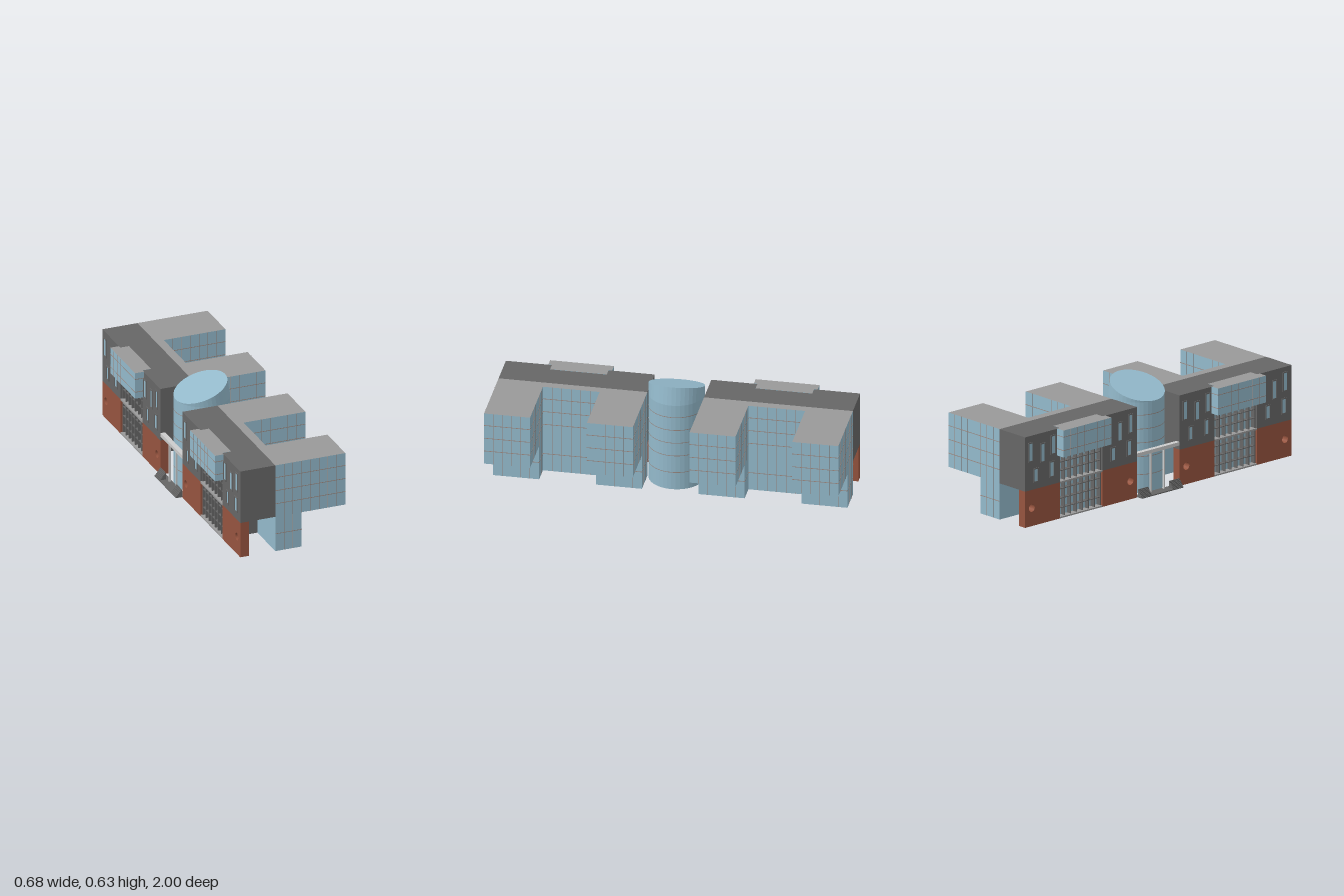
import * as THREE from 'three';
import { mergeGeometries } from 'three/addons/utils/BufferGeometryUtils.js';

const mat = (color, extra = {}) => new THREE.MeshStandardMaterial({ color, ...extra });
const glass = mat(0x93b9cb), dark = mat(0x666666), roof = mat(0x999999);
const brick = mat(0x96543f), line = mat(0x9a8a84), pale = mat(0xcccccc);
const drum = mat(0x93b9cb, { flatShading: true });

const SIDE = 0.42;   // half length of one block along z
const COURT = 0.16;  // half width of its courtyard

function add(parent, name, geometry, material) {
  const mesh = new THREE.Mesh(geometry, material);
  mesh.name = name;
  parent.add(mesh);
  return mesh;
}

// Box given by its lower and upper limits on each axis
function span(x0, x1, y0, y1, z0, z1) {
  return new THREE.BoxGeometry(x1 - x0, y1 - y0, z1 - z0)
    .translate((x0 + x1) / 2, (y0 + y1) / 2, (z0 + z1) / 2);
}

// Upright prism over a floor plan of [x, z] points
function prism(plan, y0, y1) {
  const shape = new THREE.Shape(plan.map(([x, z]) => new THREE.Vector2(x, -z)));
  return new THREE.ExtrudeGeometry(shape, { depth: y1 - y0, bevelEnabled: false })
    .rotateX(-Math.PI / 2).translate(0, y0, 0);
}

// Thin joint lines on the walls along an open run of plan points
function joints(plan, y0, y1, rows) {
  const parts = [];
  for (let i = 0; i < plan.length - 1; i++) {
    const [ax, az] = plan[i], [bx, bz] = plan[i + 1];
    const length = Math.hypot(bx - ax, bz - az);
    const angle = -Math.atan2(bz - az, bx - ax);
    const place = (g, t, y) => parts.push(g.rotateY(angle)
      .translate(ax + (bx - ax) * t, y, az + (bz - az) * t));
    const n = Math.max(1, Math.round(length / 0.0525));
    for (let k = 1; k < n; k++) {
      place(new THREE.BoxGeometry(0.002, y1 - y0, 0.002), k / n, (y0 + y1) / 2);
    }
    for (const y of rows) place(new THREE.BoxGeometry(length, 0.004, 0.002), 0.5, y);
  }
  return mergeGeometries(parts);
}

// U-shaped glazed wing plan with two arms reaching to x = arm
const wingPlan = (arm) => [
  [-0.08, SIDE], [arm, SIDE], [arm, COURT], [-0.03, COURT],
  [-0.03, -COURT], [arm, -COURT], [arm, -SIDE], [-0.08, -SIDE],
];

// One of the two equal blocks, centred on its own courtyard
function makeBlock(side) {
  const block = new THREE.Group();
  block.name = side > 0 ? 'leftBlock' : 'rightBlock';

  // Glazed wings, the upper storey overhanging the lower
  const upper = wingPlan(0.34), lower = wingPlan(0.078);
  add(block, 'upperWings', prism(upper, 0.21, 0.525), [roof, glass]);
  add(block, 'lowerWings', prism(lower, 0, 0.21), [roof, glass]);
  add(block, 'upperJoints', joints(upper, 0.21, 0.525, [0.29, 0.37, 0.45]), line);
  add(block, 'lowerJoints', joints(lower, 0, 0.21, [0.106]), line);

  // Dark spine with a notch for the tall glazing, and its core below
  add(block, 'spine', prism([
    [-0.29, SIDE], [-0.08, SIDE], [-0.08, -SIDE], [-0.29, -SIDE],
    [-0.29, -COURT], [-0.238, -COURT], [-0.238, COURT], [-0.29, COURT],
  ], 0.21, 0.525), dark);
  add(block, 'groundCore', span(-0.238, -0.08, 0, 0.21, -COURT, COURT), dark);

  // Tall glazing with mullions and a floor slab
  add(block, 'tallGlazing', span(-0.25, -0.238, 0, 0.37, -COURT, COURT), glass);
  const bars = [];
  for (let i = 0; i <= 7; i++) {
    const z = -0.156 + i * 0.312 / 7;
    bars.push(span(-0.278, -0.25, 0, 0.37, z - 0.003, z + 0.003));
  }
  for (const y of [0.055, 0.11, 0.165, 0.27, 0.32]) {
    bars.push(span(-0.276, -0.25, y - 0.002, y + 0.002, -COURT, COURT));
  }
  add(block, 'mullions', mergeGeometries(bars), dark);
  add(block, 'floorSlab', span(-0.29, -0.238, 0.203, 0.213, -COURT, COURT), roof);
  add(block, 'sill', span(-0.29, -0.238, 0, 0.008, -COURT, COURT), roof);

  // Glazed bay hanging over the facade
  const bay = [[-0.238, COURT], [-0.238, -COURT], [-0.29, -COURT], [-0.29, -0.18],
    [-0.342, -0.18], [-0.342, 0.18], [-0.29, 0.18], [-0.29, COURT]];
  add(block, 'bay', prism(bay, 0.37, 0.526), [roof, glass]);
  add(block, 'bayJoints', joints(bay.slice(3, 7), 0.37, 0.525, [0.41, 0.488]), line);

  for (const end of [-1, 1]) {
    // Brick wall with a round opening; the opening sits near the block's outer edge
    const wall = new THREE.Shape();
    wall.moveTo(COURT, 0).lineTo(SIDE, 0).lineTo(SIDE, 0.21).lineTo(COURT, 0.21).closePath();
    wall.holes.push(new THREE.Path().absarc(0.37, 0.105, 0.022, 0, Math.PI * 2, true));
    const g = new THREE.ExtrudeGeometry(wall, { depth: 0.052, bevelEnabled: false, curveSegments: 12 })
      .translate(0, 0, -0.026).rotateY(end * Math.PI / 2).translate(-0.264, 0, 0);
    add(block, 'brickWall', g, brick);

    // Staggered narrow windows in dark frames
    for (const [dz, y, h] of [[-0.09, 0.43, 0.1], [0, 0.41, 0.1], [0.08, 0.44, 0.1],
      [-0.05, 0.29, 0.07], [0.07, 0.3, 0.08]]) {
      const z = end * 0.29 + dz;
      add(block, 'window', span(-0.2915, -0.289, y - h / 2, y + h / 2, z - 0.012, z + 0.012), glass);
      const frame = [
        span(-0.294, -0.289, y + h / 2, y + h / 2 + 0.007, z - 0.019, z + 0.019),
        span(-0.294, -0.289, y - h / 2 - 0.007, y - h / 2, z - 0.019, z + 0.019),
        span(-0.294, -0.289, y - h / 2, y + h / 2, z - 0.019, z - 0.012),
        span(-0.294, -0.289, y - h / 2, y + h / 2, z + 0.012, z + 0.019),
      ];
      add(block, 'windowFrame', mergeGeometries(frame), dark);
    }
  }
  block.position.z = side * 0.58;
  return block;
}

// Round tower whose top edge is hinged up around its -x side
function makeTower() {
  const tower = new THREE.Group();
  tower.name = 'tower';
  const r = 0.157, tilt = 0.338, top = 0.525;
  const g = new THREE.CylinderGeometry(r, r, top, 40, 2).translate(r, top / 2, 0);
  const p = g.attributes.position;
  for (let i = 0; i < p.count; i++) {
    const x = p.getX(i), y = p.getY(i);
    if (y > top - 0.01) p.setXY(i, x * Math.cos(tilt), top + x * Math.sin(tilt));
    else if (y > 0.1) p.setY(i, top - 0.001);
  }
  g.computeVertexNormals();
  add(tower, 'drum', g, [drum, drum, dark]);
  for (const y of [0.106, 0.21, 0.29, 0.37, 0.45]) {
    add(tower, 'ringJoint', new THREE.CylinderGeometry(r + 0.001, r + 0.001, 0.004, 40, 1, true)
      .translate(r, y, 0), line);
  }
  tower.position.x = -0.107 - r;
  return tower;
}

function makeEntrance() {
  const entrance = new THREE.Group();
  entrance.name = 'entrance';
  add(entrance, 'canopy', span(-0.29, -0.262, 0.235, 0.255, -0.16, 0.16), pale);
  for (const z of [-0.05, 0.05]) {
    add(entrance, 'post', span(-0.285, -0.275, 0, 0.235, z - 0.005, z + 0.005), pale);
  }
  // Two flights of small steps beside a low landing
  add(entrance, 'landing', span(-0.327, -0.264, 0, 0.006, -0.155, 0.155), dark);
  for (const s of [-1, 1]) {
    const profile = new THREE.Shape().moveTo(-0.29, 0).lineTo(-0.327, 0);
    for (let i = 0; i < 8; i++) {
      const x = -0.327 + i * 0.0046, y = (i + 1) * 0.0058;
      profile.lineTo(x, y).lineTo(x + 0.0046, y);
    }
    add(entrance, 'steps', new THREE.ExtrudeGeometry(profile, { depth: 0.075, bevelEnabled: false })
      .translate(0, 0, s > 0 ? 0.08 : -0.155), dark);
  }
  return entrance;
}

export function createModel() {
  const model = new THREE.Group();
  model.name = 'building';
  model.add(makeBlock(1), makeBlock(-1), makeTower(), makeEntrance());
  return model;
}
